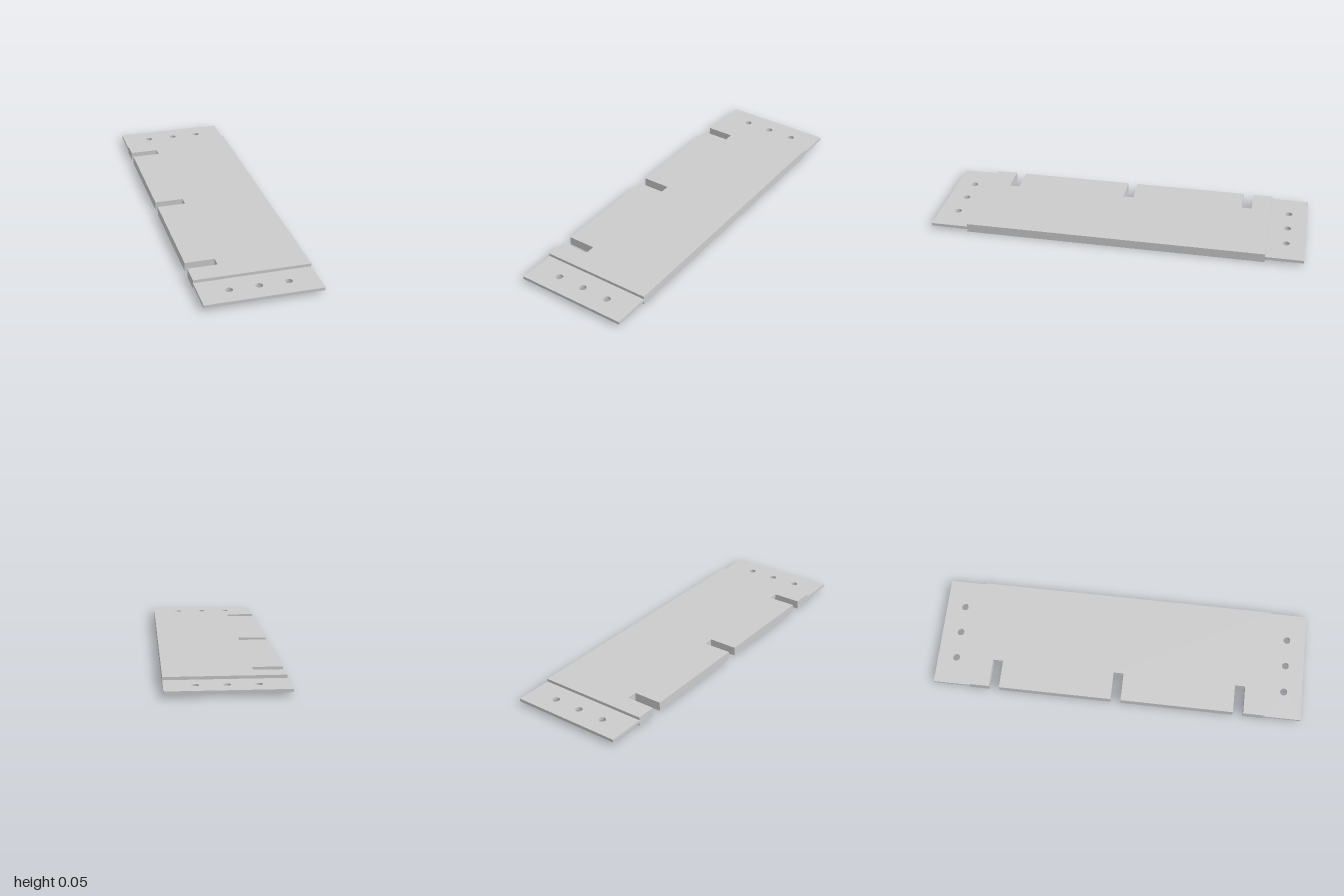
import * as THREE from 'three';

const HALF_W = 0.3, BODY_END = 0.8, BODY_H = 0.047;
const TAB_END = 1, TAB_Y = 0.0157, TAB_H = 0.0157;
const NOTCH_X = -0.147, NOTCH_W = 0.055, NOTCHES = [-0.667, -0.003, 0.661];

// Extrudes a plan outline (x, z) upward from height y.
function plate(name, outline, holes, y, height, material) {
  const shape = new THREE.Shape(outline.map(([x, z]) => new THREE.Vector2(x, -z)));
  for (const [x, z, r] of holes) {
    shape.holes.push(new THREE.Path().absarc(x, -z, r, 0, Math.PI * 2, true));
  }
  const geometry = new THREE.ExtrudeGeometry(shape, { depth: height, bevelEnabled: false, curveSegments: 24 });
  geometry.rotateX(-Math.PI / 2);
  const mesh = new THREE.Mesh(geometry, material);
  mesh.name = name;
  mesh.position.y = y;
  return mesh;
}

export function createModel() {
  const group = new THREE.Group();
  group.name = 'notchedPlate';
  const material = new THREE.MeshStandardMaterial({ color: 0xcccccc });

  // Thick board with three slots cut into its right edge
  const outline = [[-HALF_W, BODY_END], [HALF_W, BODY_END], [HALF_W, -BODY_END], [-HALF_W, -BODY_END]];
  for (const z of NOTCHES) {
    const a = z - NOTCH_W / 2, b = z + NOTCH_W / 2;
    outline.push([-HALF_W, a], [NOTCH_X, a], [NOTCH_X, b], [-HALF_W, b]);
  }
  group.add(plate('board', outline, [], 0, BODY_H, material));

  // Thin end tabs at mid height, each with three bolt holes
  for (const [name, s] of [['frontTab', 1], ['backTab', -1]]) {
    const near = Math.min(s * BODY_END, s * TAB_END), far = Math.max(s * BODY_END, s * TAB_END);
    const tab = [[-HALF_W, far], [HALF_W, far], [HALF_W, near], [-HALF_W, near]];
    const holes = [-0.15, 0, 0.15].map((x) => [x, s * 0.9, 0.019]);
    group.add(plate(name, tab, holes, TAB_Y, TAB_H, material));
  }
  return group;
}
